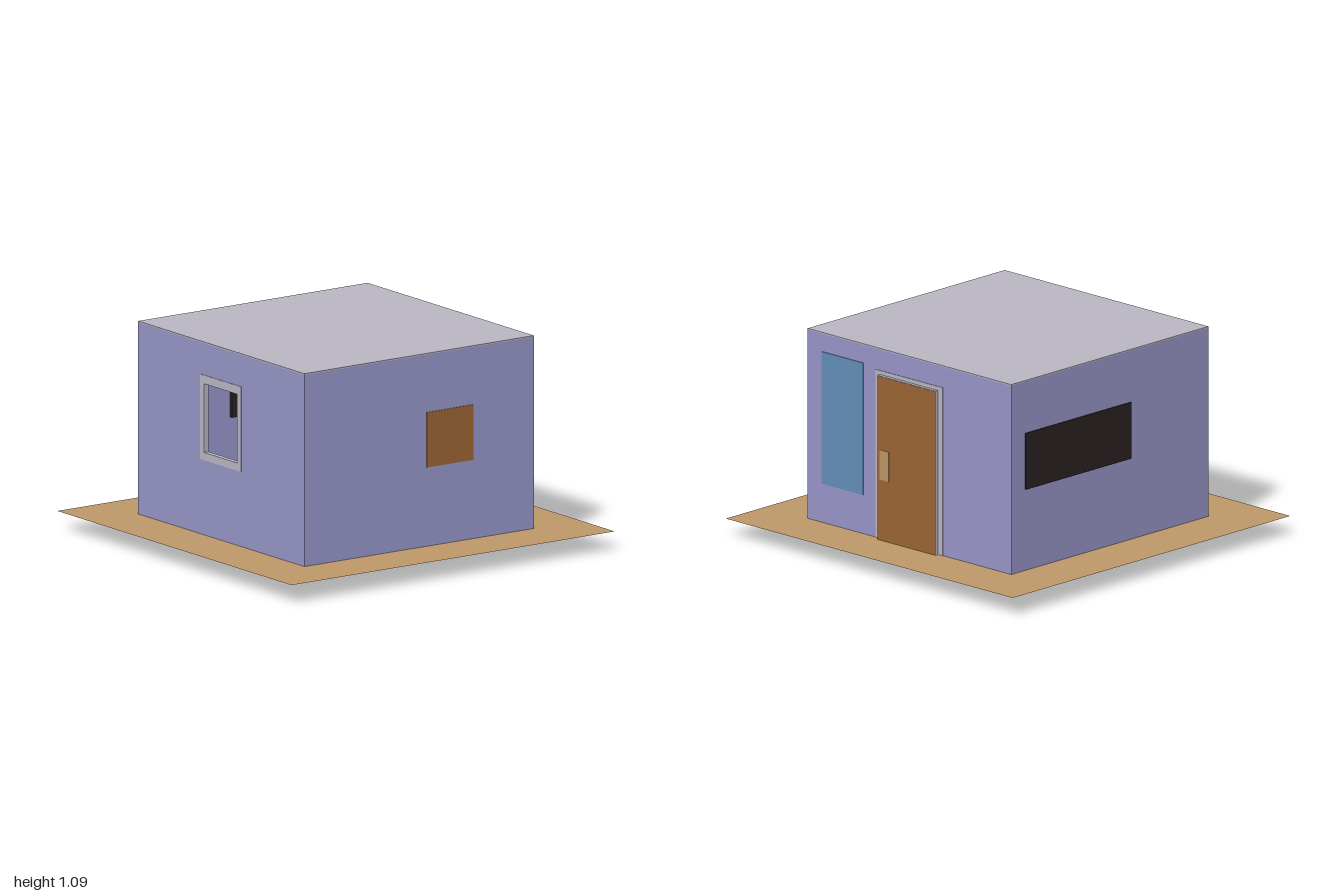
import * as THREE from 'three';

const mat = (name, color, side = THREE.FrontSide) => {
  const m = new THREE.MeshStandardMaterial({ color, side });
  m.name = name;
  return m;
};

export function createModel() {
  const model = new THREE.Group();
  model.name = 'smallRoom';

  const wall = mat('lavenderWall', 0x9896c9);
  const grey = mat('paleGrey', 0xbab7c4);
  const sand = mat('sandFloor', 0xbf986a, THREE.DoubleSide);
  const wood = mat('brownWood', 0x9c6535);
  const black = mat('nearBlack', 0x2a2223);
  const blue = mat('mirrorBlue', 0x628eb8);
  const brass = mat('tanBrass', 0xbc9364);

  const add = (name, geometry, material, x = 0, y = 0, z = 0, parent = model) => {
    const m = new THREE.Mesh(geometry, material);
    m.name = name;
    m.position.set(x, y, z);
    parent.add(m);
    return m;
  };
  // Box given by its lower and upper corner
  const box = (name, material, [x0, y0, z0], [x1, y1, z1], parent) =>
    add(name, new THREE.BoxGeometry(x1 - x0, y1 - y0, z1 - z0), material,
      (x0 + x1) / 2, (y0 + y1) / 2, (z0 + z1) / 2, parent);
  // Upright rectangular panel with a rectangular hole
  const holedPanel = (name, material, o, h, z0, z1) => {
    const rect = (P, [x0, y0, x1, y1]) => {
      const p = new P();
      p.moveTo(x0, y0).lineTo(x1, y0).lineTo(x1, y1).lineTo(x0, y1).closePath();
      return p;
    };
    const shape = rect(THREE.Shape, o);
    shape.holes.push(rect(THREE.Path, h));
    const g = new THREE.ExtrudeGeometry(shape, { depth: z1 - z0, bevelEnabled: false });
    return add(name, g, material, 0, 0, z0);
  };

  const W = 0.71, T = 0.01, FLOOR = 0.097, BASE = 0.094, TOP = 1.09;

  // Ground sheet
  add('ground', new THREE.PlaneGeometry(2, 2).rotateX(-Math.PI / 2), sand, 0, FLOOR, 0);

  // Walls and flat roof
  holedPanel('frontWall', wall, [-W, BASE, W, TOP - 0.006], [-0.16, 0.5, 0.155, 0.895], W - T, W);
  box('backWall', wall, [-W, BASE, -W], [W, TOP - 0.006, -W + T]);
  for (const [s, name] of [[1, 'leftWall'], [-1, 'rightWall']])
    add(name, new THREE.BoxGeometry(T, TOP - 0.006 - BASE, 2 * (W - T)), wall,
      s * (W - T / 2), (BASE + TOP - 0.006) / 2, 0);
  box('roof', grey, [-W, TOP - 0.006, -W], [W, TOP, W]);

  // Window frame around the opening
  holedPanel('windowFrame', grey, [-0.177, 0.482, 0.172, 0.92], [-0.145, 0.522, 0.14, 0.876], 0.685, 0.713);

  // Door with frame, wooden faces and handles
  const door = new THREE.Group();
  door.name = 'door';
  model.add(door);
  box('doorFrame', grey, [-0.235, 0.09, -0.7135], [0.235, 0.975, -0.695], door);
  box('doorCore', grey, [-0.203, 0.09, -0.732], [0.203, 0.955, -0.68], door);
  for (const [side, z, out] of [['outer', -0.7325, -1], ['inner', -0.6795, 1]]) {
    add(side + 'DoorFace', new THREE.BoxGeometry(0.4, 0.86, 0.002), wood, 0, 0.522, z, door);
    add(side + 'HandlePlate', new THREE.BoxGeometry(0.062, 0.155, 0.004), brass, 0.152, 0.492, z + out * 0.002, door);
  }

  // Tall mirror, picture and screen set into the walls
  box('mirror', blue, [0.32, 0.3, -0.715], [0.607, 0.99, -0.695]);
  box('picture', wood, [0.69, 0.503, -0.335], [0.7135, 0.787, -0.046]);
  box('screen', black, [-0.716, 0.52, -0.61], [-0.68, 0.815, 0.15]);

  // Four legs placed symmetrically about a table's centre
  const legs = (name, material, parent, dx, dz, w, d, y0, y1) => {
    for (const sx of [-1, 1])
      for (const sz of [-1, 1])
        box(name, material, [sx * dx - w / 2, y0, sz * dz - d / 2],
          [sx * dx + w / 2, y1, sz * dz + d / 2], parent);
  };

  // Oval stand below the screen
  const stand = new THREE.Group();
  stand.name = 'ovalStand';
  stand.position.set(-0.497, 0, -0.26);
  model.add(stand);
  add('standTop', new THREE.CylinderGeometry(1, 1, 0.07, 32).scale(0.17, 1, 0.3), black, 0, 0.37, 0, stand);
  legs('standLeg', black, stand, 0.1, 0.175, 0.022, 0.034, 0, 0.336);

  // Central table
  const table = new THREE.Group();
  table.name = 'table';
  model.add(table);
  box('tableTop', wood, [-0.28, 0.355, -0.15], [0.28, 0.395, 0.15], table);
  legs('tableLeg', wood, table, 0.25, 0.122, 0.025, 0.025, 0.093, 0.356);

  return model;
}
